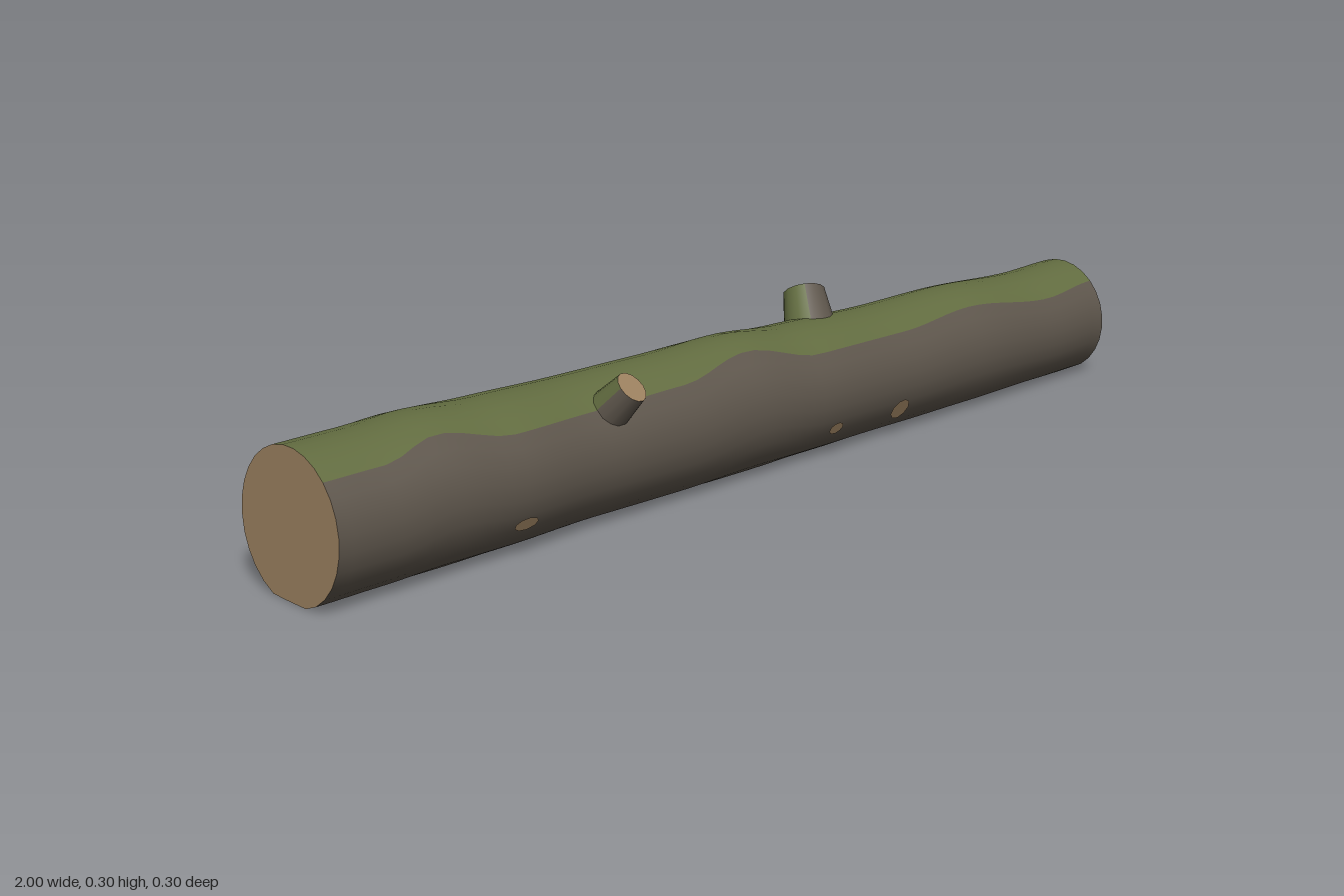
import * as THREE from 'three';

const material = (name, color, side = THREE.FrontSide) => {
  const m = new THREE.MeshStandardMaterial({ color, side });
  m.name = name;
  return m;
};

// Trunk stations: x, back z, front z, top y, angle where the moss starts (degrees)
const STATIONS = [
  [-1, -0.14, 0.135, 0.262, 46], [-0.87, -0.145, 0.131, 0.262, 46], [-0.75, -0.148, 0.127, 0.266, 57],
  [-0.6, -0.15, 0.122, 0.259, 43], [-0.4, -0.157, 0.108, 0.252, 45], [-0.2, -0.15, 0.105, 0.254, 46],
  [-0.02, -0.15, 0.1, 0.257, 60], [0.15, -0.161, 0.095, 0.244, 44], [0.4, -0.163, 0.087, 0.236, 46],
  [0.6, -0.16, 0.083, 0.239, 52], [0.85, -0.163, 0.069, 0.226, 42], [1, -0.167, 0.065, 0.229, 47],
];

// Smooth interpolation of one station column
function sample(x, column) {
  let i = 0;
  while (i < STATIONS.length - 2 && x > STATIONS[i + 1][0]) i++;
  const a = STATIONS[i], b = STATIONS[i + 1];
  const t = (x - a[0]) / (b[0] - a[0]);
  return THREE.MathUtils.lerp(a[column], b[column], t * t * (3 - 2 * t));
}

// Point on the trunk; angle 0 faces front, 90 degrees faces up, and the underside is flattened
function trunkPoint(x, angle) {
  const back = sample(x, 1), front = sample(x, 2), top = sample(x, 3);
  const cy = top / 2 - 0.004;
  const y = Math.max(0, cy + (top - cy) * Math.sin(angle));
  const z = (back + front) / 2 + ((front - back) / 2) * Math.cos(angle);
  const tilt = x < -0.99 ? 0.01 * (y / 0.26) : 0;
  return new THREE.Vector3(x + tilt, y, z);
}

const mossStart = (x) => THREE.MathUtils.degToRad(sample(x, 4));
const mossEnd = (x) => THREE.MathUtils.degToRad(224 + 4 * Math.sin(x * 9));

// Strip of trunk surface between two angles that vary along the length
function trunkStrip(from, to) {
  const rings = 60, sides = 14, positions = [], index = [];
  for (let i = 0; i <= rings; i++) {
    const x = -1 + (2 * i) / rings;
    for (let j = 0; j <= sides; j++) {
      const angle = THREE.MathUtils.lerp(from(x), to(x), j / sides);
      positions.push(...trunkPoint(x, angle).toArray());
      if (i < rings && j < sides) {
        const a = i * (sides + 1) + j, b = a + sides + 1;
        index.push(a, b, a + 1, b, b + 1, a + 1);
      }
    }
  }
  const g = new THREE.BufferGeometry();
  g.setAttribute('position', new THREE.Float32BufferAttribute(positions, 3));
  g.setIndex(index);
  g.computeVertexNormals();
  return g;
}

// Sawn face closing one end of the trunk
function endFace(x) {
  const sides = 28, positions = [], index = [];
  const centre = trunkPoint(x, 0).add(trunkPoint(x, Math.PI)).multiplyScalar(0.5);
  positions.push(...centre.toArray());
  const start = mossStart(x), end = mossEnd(x);
  for (let j = 0; j < sides; j++) {
    const half = sides / 2;
    const angle = j < half
      ? THREE.MathUtils.lerp(start, end, j / half)
      : THREE.MathUtils.lerp(end, start + Math.PI * 2, (j - half) / half);
    positions.push(...trunkPoint(x, angle).toArray());
    const a = j + 1, b = ((j + 1) % sides) + 1;
    // Angles run clockwise when seen from +x
    if (x > 0) index.push(0, b, a);
    else index.push(0, a, b);
  }
  const g = new THREE.BufferGeometry();
  g.setAttribute('position', new THREE.Float32BufferAttribute(positions, 3));
  g.setIndex(index);
  g.computeVertexNormals();
  return g;
}

export function createModel() {
  const model = new THREE.Group();
  model.name = 'fallenLog';
  const bark = material('bark', 0x5e564c);
  const moss = material('moss', 0x626c40);
  const wood = material('cutWood', 0xa08462);

  const add = (parent, name, geometry, mat) => {
    const mesh = new THREE.Mesh(geometry, mat);
    mesh.name = name;
    parent.add(mesh);
    return mesh;
  };

  // Trunk: moss over the top and back, bark on the front and underside
  add(model, 'mossSide', trunkStrip(mossStart, mossEnd), moss);
  add(model, 'barkSide', trunkStrip(mossEnd, (x) => mossStart(x) + Math.PI * 2), bark);
  add(model, 'leftEnd', endFace(1), wood);
  add(model, 'rightEnd', endFace(-1), wood);

  // Sawn branch stubs, mossy on the side facing up and back
  const addStub = (name, tip, direction, tipRadius, baseRadius, length) => {
    const stub = new THREE.Group();
    stub.name = name;
    const up = new THREE.Vector3(...direction).normalize();
    const mossy = new THREE.Vector3(0, 1, -1);
    mossy.addScaledVector(up, -mossy.dot(up)).normalize();
    const side = new THREE.Vector3().crossVectors(up, mossy);
    stub.quaternion.setFromRotationMatrix(new THREE.Matrix4().makeBasis(side, up, mossy));
    stub.position.set(...tip);
    const half = (start) => new THREE.CylinderGeometry(tipRadius, baseRadius, length, 7, 1, true, start, Math.PI)
      .translate(0, -length / 2, 0);
    add(stub, 'stubMoss', half(-Math.PI / 2), moss);
    add(stub, 'stubBark', half(Math.PI / 2), bark);
    add(stub, 'stubCut', new THREE.CircleGeometry(tipRadius, 14).rotateX(-Math.PI / 2), wood);
    model.add(stub);
  };
  addStub('frontStub', [-0.356, 0.253, 0.103], [0.22, 0.72, 0.66], 0.031, 0.043, 0.1);
  addStub('backStub', [0.279, 0.274, -0.11], [0.3, 0.8, -0.52], 0.041, 0.058, 0.13);

  // Small bare patches low on the front
  for (const [x, width, height] of [[-0.6, 0.026, 0.014], [0.175, 0.018, 0.014], [0.36, 0.024, 0.024]]) {
    const angle = THREE.MathUtils.degToRad(-27);
    const patch = add(model, 'barePatch', new THREE.CircleGeometry(1, 9), wood);
    patch.scale.set(width, height, 1);
    patch.rotation.x = -angle;
    patch.position.copy(trunkPoint(x, angle)).add(new THREE.Vector3(0, Math.sin(angle), Math.cos(angle)).multiplyScalar(0.002));
  }
  return model;
}
